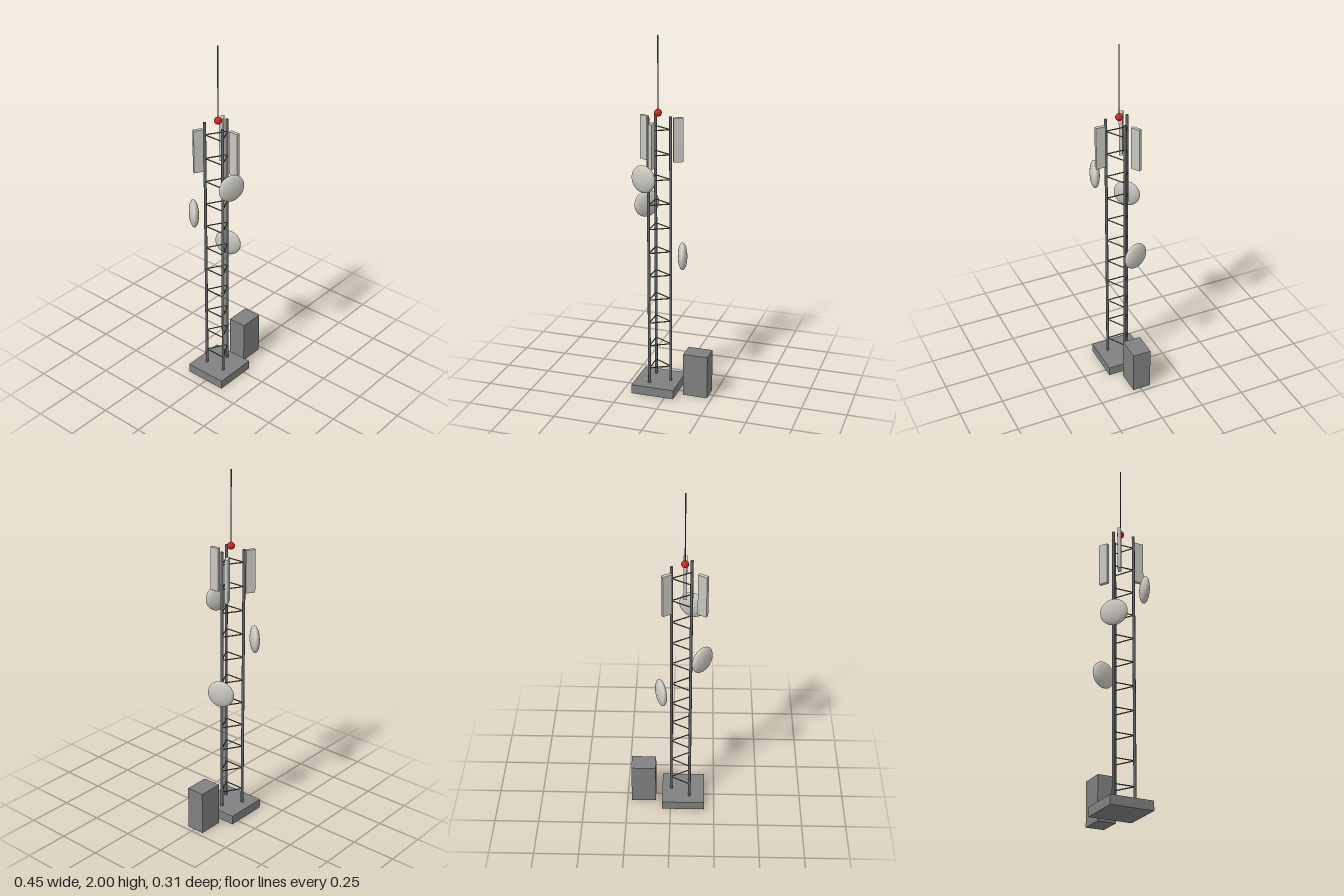
import * as THREE from 'three';

const CX = -0.0725, CZ = -0.0065; // tower axis

function material(name, color) {
  const m = new THREE.MeshStandardMaterial({ color });
  m.name = name;
  return m;
}

export function createModel() {
  const concrete = material('concrete grey', 0x808080);
  const steel = material('dark steel', 0x606468);
  const pale = material('pale grey', 0xc9c7c0);
  const red = material('beacon red', 0xc8281e);

  const model = new THREE.Group();
  model.name = 'radioTower';
  const add = (parent, name, geometry, mat, x = 0, y = 0, z = 0) => {
    const mesh = new THREE.Mesh(geometry, mat);
    mesh.name = name;
    mesh.position.set(x, y, z);
    parent.add(mesh);
    return mesh;
  };

  // Foundation slab and equipment cabinet
  add(model, 'baseSlab', new THREE.BoxGeometry(0.243, 0.052, 0.243), concrete, CX, 0.026, CZ);
  add(model, 'equipmentCabinet', new THREE.BoxGeometry(0.139, 0.247, 0.104), concrete, 0.1555, 0.1235, -0.007);

  // Everything on the mast shares the tower axis
  const tower = new THREE.Group();
  tower.name = 'tower';
  tower.position.set(CX, 0, CZ);
  model.add(tower);

  // Three legs
  const legs = [0, 1, 2].map(i => {
    const a = i * Math.PI * 2 / 3;
    return new THREE.Vector3(Math.cos(a) * 0.07, 0, Math.sin(a) * 0.07);
  });
  const legGeometry = new THREE.CylinderGeometry(0.008, 0.008, 1.53, 12);
  for (const p of legs) add(tower, 'leg', legGeometry, steel, p.x, 0.81, p.z);

  // Horizontal triangles of rungs
  const rungGeometry = new THREE.CylinderGeometry(0.0032, 0.0032, legs[0].distanceTo(legs[1]), 8);
  const up = new THREE.Vector3(0, 1, 0);
  for (let level = 0; level < 11; level++) {
    legs.forEach((p, i) => {
      const q = legs[(i + 1) % 3];
      const rung = add(tower, 'rung', rungGeometry, steel, (p.x + q.x) / 2, 0.14 + level * 0.1365, (p.z + q.z) / 2);
      rung.quaternion.setFromUnitVectors(up, q.clone().sub(p).normalize());
    });
  }

  // Mounts a part outward from the axis, its local +z pointing away
  const mount = (name, geometry, angle, radius, y) => {
    const mesh = add(tower, name, geometry, pale, Math.cos(angle) * radius, y, Math.sin(angle) * radius);
    mesh.rotation.y = Math.PI / 2 - angle;
    return mesh;
  };

  // Sector antenna panels, edge-on to the tower
  const panelGeometry = new THREE.BoxGeometry(0.0195, 0.242, 0.0525);
  for (const degrees of [90, 210, 330]) {
    mount('panelAntenna', panelGeometry, THREE.MathUtils.degToRad(degrees), 0.1085, 1.438);
  }

  // Flattened dishes at three heights
  const dishGeometry = new THREE.SphereGeometry(0.075, 32, 20).scale(1, 1, 0.35);
  for (const [angle, y] of [[1.885, 1.26], [3.89, 1.055], [5.98, 0.79]]) {
    mount('dish', dishGeometry, angle, 0.131, y);
  }

  // Beacon and whip antenna
  add(tower, 'beacon', new THREE.SphereGeometry(0.0205, 24, 16), red, 0, 1.592, 0);
  add(tower, 'whipAntenna', new THREE.CylinderGeometry(0.003, 0.003, 0.42, 8), steel, 0, 1.79, 0);

  return model;
}
